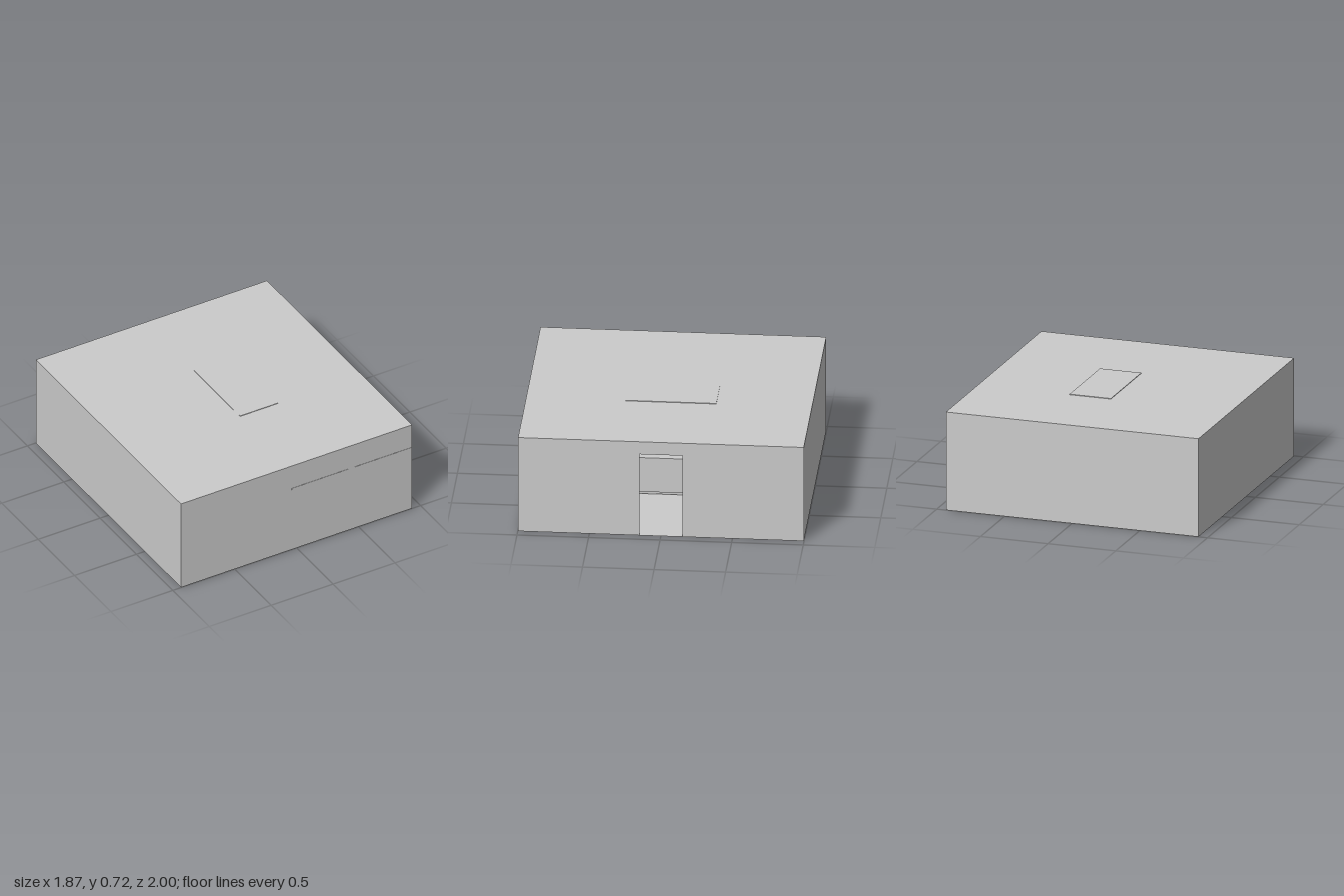
import * as THREE from 'three';

const W = 0.933, D = 0.998, H = 0.715;
const material = new THREE.MeshStandardMaterial({ color: 0xcccccc, side: THREE.DoubleSide, flatShading: true });

function add(parent, name, geometry) {
  const mesh = new THREE.Mesh(geometry, material);
  mesh.name = name;
  parent.add(mesh);
  return mesh;
}

// Box given by its minimum and maximum corners
function block(parent, name, [x0, y0, z0], [x1, y1, z1]) {
  const mesh = add(parent, name, new THREE.BoxGeometry(x1 - x0, y1 - y0, z1 - z0));
  mesh.position.set((x0 + x1) / 2, (y0 + y1) / 2, (z0 + z1) / 2);
  return mesh;
}

// Base cabinet run with a toe plinth
function baseUnit(parent, name, [x0, z0], [x1, z1]) {
  const g = new THREE.Group();
  g.name = name;
  block(g, 'plinth', [x0 + 0.01, 0.006, z0 + 0.01], [x1 - 0.01, 0.025, z1 - 0.01]);
  block(g, 'cabinetBody', [x0, 0.025, z0], [x1, 0.285, z1]);
  parent.add(g);
}

export function createModel() {
  const room = new THREE.Group();
  room.name = 'kitchenRoom';

  // Thin sheets for floor, ceiling and the three plain walls
  for (const [name, y] of [['floor', 0], ['ceiling', H]]) {
    const sheet = add(room, name, new THREE.PlaneGeometry(2 * W, 2 * D));
    sheet.rotation.x = y ? -Math.PI / 2 : Math.PI / 2;
    sheet.position.y = y;
  }
  for (const [name, z, turn] of [['frontWall', D, 0], ['backWall', -D, Math.PI]]) {
    const wall = add(room, name, new THREE.PlaneGeometry(2 * W, H));
    wall.rotation.y = turn;
    wall.position.set(0, H / 2, z);
  }
  const farWall = add(room, 'farWall', new THREE.PlaneGeometry(2 * D, H));
  farWall.rotation.y = -Math.PI / 2;
  farWall.position.set(-W, H / 2, 0);

  // Wall with the open doorway
  const outline = [[-D, 0], [-0.15, 0], [-0.15, 0.62], [0.15, 0.62], [0.15, 0], [D, 0], [D, H], [-D, H]];
  const doorWall = add(room, 'doorWall', new THREE.ShapeGeometry(
    new THREE.Shape(outline.map(([x, y]) => new THREE.Vector2(x, y)))));
  doorWall.rotation.y = Math.PI / 2;
  doorWall.position.x = W;

  // Ceiling panel, just proud of the roof
  block(room, 'ceilingPanel', [-0.05, 0.69, -0.33], [0.255, 0.719, 0.305]);

  // Pendant lamp over the island
  const pendant = new THREE.Group();
  pendant.name = 'pendantLamp';
  block(pendant, 'lampRod', [0.095, 0.55, 0.003], [0.109, 0.69, 0.017]);
  block(pendant, 'lampShade', [0.07, 0.487, -0.022], [0.135, 0.55, 0.043]);
  room.add(pendant);

  // Island and the cabinets along the walls
  baseUnit(room, 'island', [-0.05, -0.33], [0.255, 0.305]);
  baseUnit(room, 'backCounter', [-0.92, -0.985], [0.6, -0.79]);
  baseUnit(room, 'farCounter', [-0.925, -0.78], [-0.73, 0.6]);

  // Upper cabinets on the far wall, with a narrow gap
  for (const [z0, z1] of [[-0.6, 0.1], [0.13, 0.6]])
    block(room, 'upperCabinet', [-0.925, 0.48, z0], [-0.82, 0.66, z1]);

  // Pair of shelves on the front wall, their edges just proud of it
  for (const [x0, x1] of [[-0.04, 0.42], [0.47, 0.93]])
    block(room, 'wallShelf', [x0, 0.51, 0.9], [x1, 0.524, 1.0]);

  return room;
}
